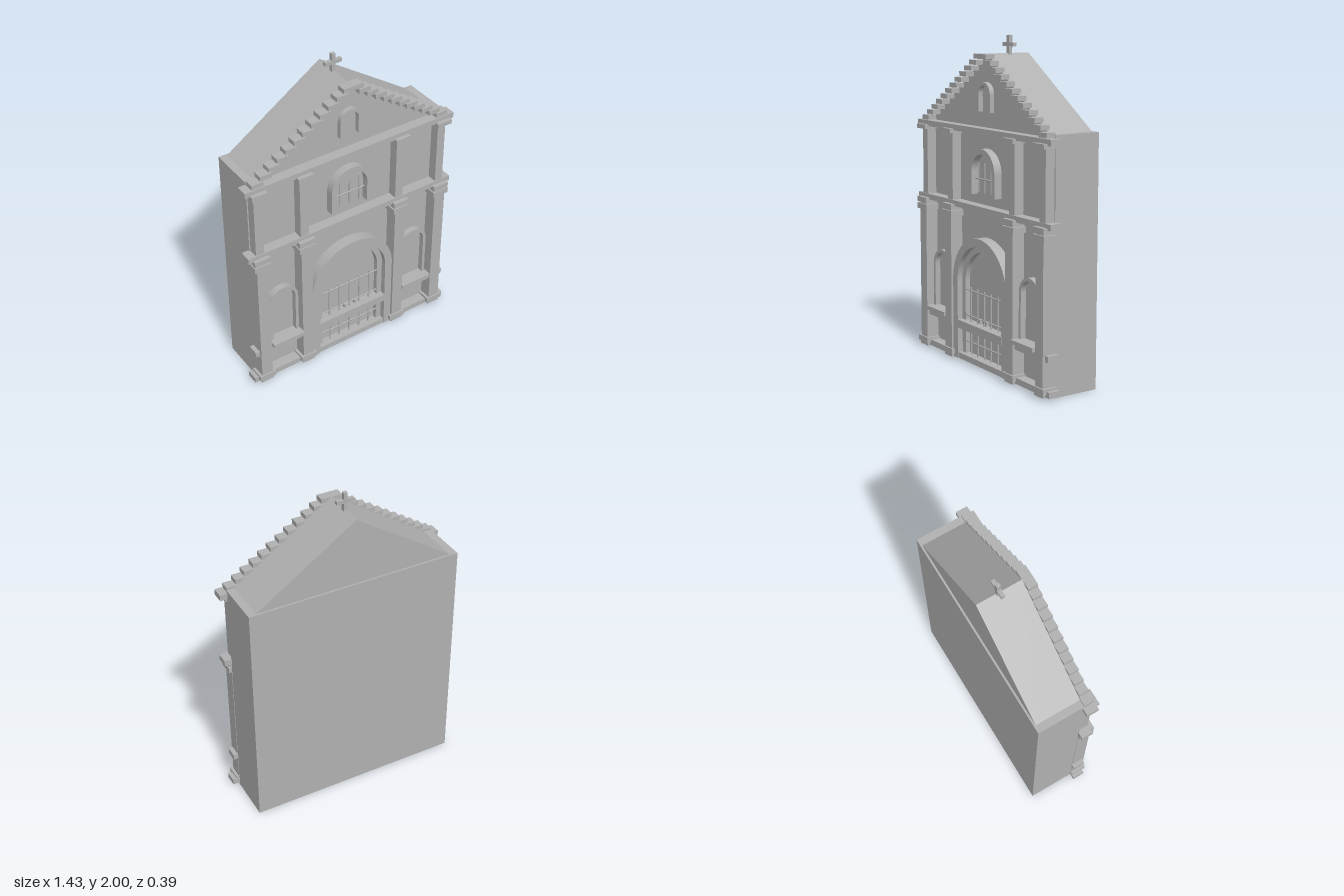
import * as THREE from 'three';

export function createModel() {
  const model = new THREE.Group();
  const stone = new THREE.MeshStandardMaterial({ color: 0xb0b0b0 });
  stone.name = 'stone';

  function add(name, geometry, x = 0, y = 0, z = 0) {
    const mesh = new THREE.Mesh(geometry, stone);
    mesh.name = name;
    mesh.position.set(x, y, z);
    model.add(mesh);
    return mesh;
  }
  // Box given by its limits on each axis
  function box(name, x0, x1, y0, y1, z0, z1) {
    return add(name, new THREE.BoxGeometry(x1 - x0, y1 - y0, z1 - z0),
      (x0 + x1) / 2, (y0 + y1) / 2, (z0 + z1) / 2);
  }
  // Round-headed outline: straight legs below a half circle
  function archPath(path, r, bottom, spring) {
    path.moveTo(-r, bottom);
    path.lineTo(r, bottom);
    path.lineTo(r, spring);
    path.absarc(0, spring, r, 0, Math.PI, false);
    path.lineTo(-r, bottom);
    return path;
  }
  // Open-footed arched frame
  function archFrame(name, x, outer, inner, bottom, spring, z0, z1) {
    const s = new THREE.Shape();
    s.moveTo(inner, bottom);
    s.lineTo(outer, bottom);
    s.lineTo(outer, spring);
    s.absarc(0, spring, outer, 0, Math.PI, false);
    s.lineTo(-outer, bottom);
    s.lineTo(-inner, bottom);
    s.lineTo(-inner, spring);
    s.absarc(0, spring, inner, Math.PI, 0, true);
    s.lineTo(inner, bottom);
    return add(name, new THREE.ExtrudeGeometry(s,
      { depth: z1 - z0, bevelEnabled: false, curveSegments: 20 }), x, 0, z0);
  }
  // Thin arched panel
  function archPanel(name, x, r, bottom, spring, z0, z1) {
    const s = archPath(new THREE.Shape(), r, bottom, spring);
    return add(name, new THREE.ExtrudeGeometry(s,
      { depth: z1 - z0, bevelEnabled: false, curveSegments: 20 }), x, 0, z0);
  }
  // Round bar, upright or lying along x
  function bar(name, length, x, y, z, lying = false) {
    const g = new THREE.CylinderGeometry(0.005, 0.005, length, 8);
    if (lying) g.rotateZ(Math.PI / 2);
    return add(name, g, x, y, z);
  }

  // Main block and gabled roof
  box('body', -0.67, 0.67, 0, 1.48, -0.195, 0.1);
  const gable = new THREE.Shape();
  gable.moveTo(-0.63, 1.475);
  gable.lineTo(0.63, 1.475);
  gable.lineTo(0, 1.895);
  add('gableRoof', new THREE.ExtrudeGeometry(gable, { depth: 0.288, bevelEnabled: false }), 0, 0, -0.183);

  // Stepped blocks along the gable
  for (let i = 0; i < 12; i++) {
    const x = 0.63 - 0.0555 * i, y = 1.48 + 0.0363 * i;
    if (i === 11) {
      box('gableTopStep', -0.066, 0.066, y - 0.014, y + 0.014, 0.1, 0.16);
      continue;
    }
    for (const s of [-1, 1]) {
      box('gableStep', s * x - 0.038, s * x + 0.038, y - 0.014, y + 0.014, 0.1, 0.16);
    }
  }

  // Cross on the ridge
  box('crossUpright', -0.012, 0.012, 1.88, 2, -0.06, -0.036);
  box('crossArm', -0.055, 0.055, 1.935, 1.957, -0.06, -0.036);

  // Horizontal mouldings
  box('topCornice', -0.715, 0.715, 1.427, 1.463, 0.09, 0.165);
  box('middleCornice', -0.715, 0.715, 0.965, 1.0, 0.09, 0.165);
  box('dadoBand', -0.70, 0.70, 0.222, 0.258, 0.09, 0.165);
  box('plinthBand', -0.715, 0.715, 0.02, 0.056, 0.09, 0.165);

  // Pilasters on both storeys with their capitals and bases
  for (const x of [-0.635, -0.335, 0.335, 0.635]) {
    const block = (name, w, y0, y1, z1) => box(name, x - w / 2, x + w / 2, y0, y1, 0.095, z1);
    block('lowerPilaster', 0.075, 0.02, 0.97, 0.18);
    block('pilasterFoot', 0.085, 0.015, 0.037, 0.182);
    block('pilasterBase', 0.11, 0.037, 0.07, 0.19);
    block('capitalLower', 0.11, 0.9, 0.935, 0.19);
    block('capitalUpper', 0.105, 0.943, 0.977, 0.19);
    block('upperPilaster', 0.055, 1.0, 1.43, 0.16);
    block('upperCapital', 0.1, 1.41, 1.437, 0.19);
  }

  // Main doorway: nested arches, panel and rail
  archFrame('doorArch', 0, 0.293, 0.242, 0.02, 0.512, 0.1, 0.17);
  archFrame('doorFrame', 0, 0.242, 0.205, 0.05, 0.512, 0.1, 0.135);
  archPanel('doorPanel', 0, 0.205, 0.05, 0.5, 0.1, 0.105);
  box('doorRail', -0.243, 0.243, 0.214, 0.265, 0.1, 0.172);
  for (let i = -2; i <= 2; i++) {
    bar('doorBar', 0.42, i * 0.074, 0.27, 0.13);
  }
  for (const y of [0.135, 0.3, 0.46]) bar('doorCrossBar', 0.41, 0, y, 0.13, true);
  for (const s of [-1, 1]) {
    box('doorHandle', s * 0.038 - 0.009, s * 0.038 + 0.009, 0.28, 0.305, 0.125, 0.145);
  }

  // Side windows with sills
  for (const s of [-1, 1]) {
    archFrame('sideWindowFrame', s * 0.478, 0.1, 0.08, 0.26, 0.557, 0.1, 0.14);
    archPanel('sideWindowPanel', s * 0.478, 0.08, 0.27, 0.557, 0.1, 0.105);
    box('sideWindowSill', s * 0.478 - 0.108, s * 0.478 + 0.108, 0.26, 0.285, 0.1, 0.193);
  }

  // Upper window and its grille
  archFrame('upperWindowFrame', 0, 0.14, 0.108, 1.06, 1.2, 0.1, 0.15);
  archPanel('upperWindowPanel', 0, 0.108, 1.06, 1.2, 0.1, 0.105);
  for (const x of [-0.068, 0, 0.068]) bar('windowBar', 0.175, x, 1.165, 0.125);
  bar('windowCrossBar', 0.205, 0, 1.157, 0.125, true);

  // Small niche in the gable
  archFrame('gableNicheFrame', 0, 0.07, 0.052, 1.555, 1.66, 0.1, 0.135);

  return model;
}
